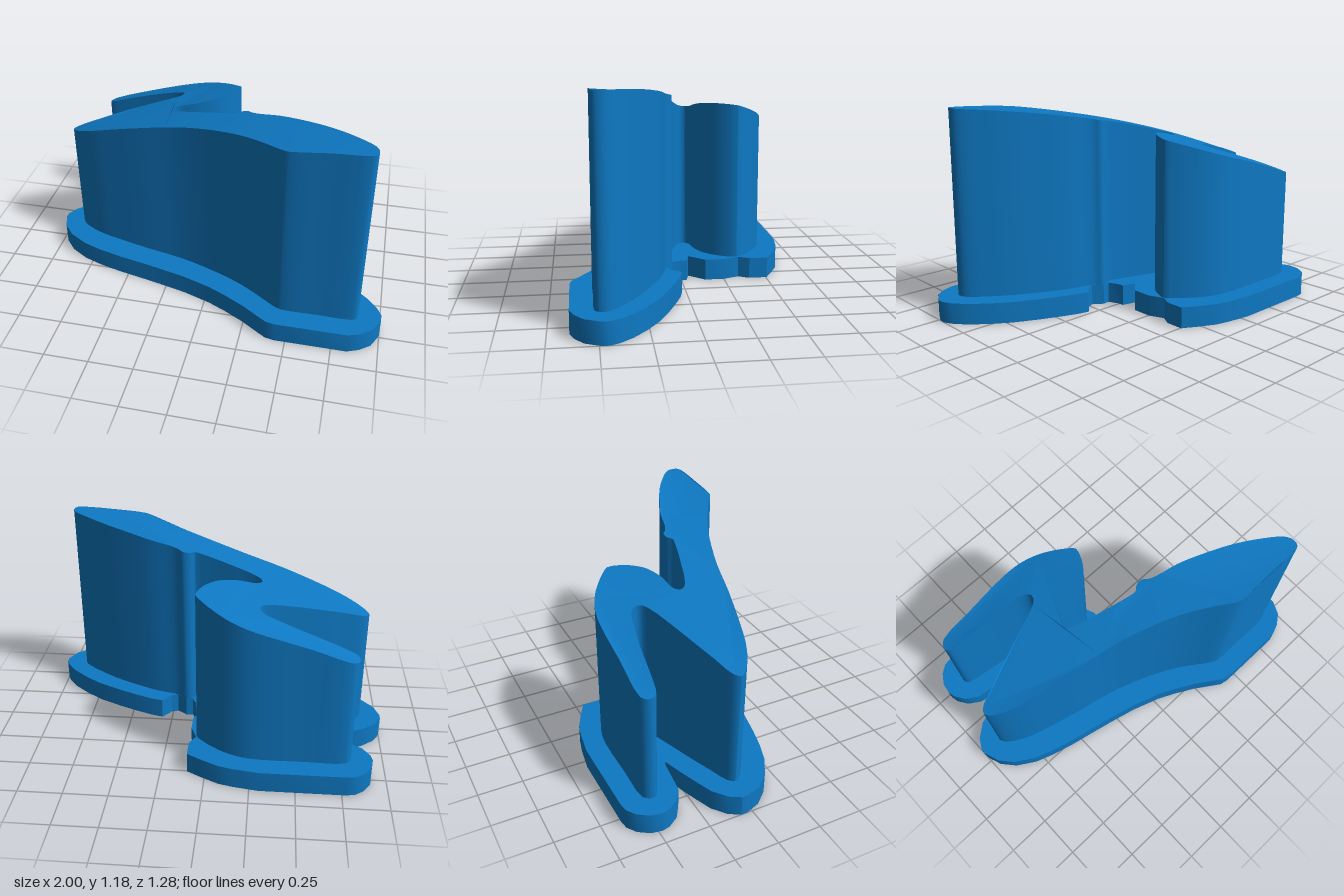
import * as THREE from 'three';
import { toCreasedNormals } from 'three/addons/utils/BufferGeometryUtils.js';

const BASE_HEIGHT = 0.12;

// Outlines as x, z pairs seen from above
const baseOutline = [
  0.1, -0.505, 0.1, -0.4, 0.065, -0.34, 0.1, -0.25, 0.1, -0.14, 0.015, -0.05, 0.095, -0.03, 0.1, 0.01,
  0.125, 0.065, 0.165, 0.06, 0.19, 0.08, 0.22, 0.1, 0.26, 0.085, 0.31, 0.025, 0.375, 0.04, 0.47, 0.075,
  0.59, 0.125, 0.725, 0.19, 0.83, 0.26, 0.92, 0.335, 0.975, 0.4, 1, 0.45, 1, 0.49, 0.96, 0.57,
  0.9, 0.615, 0.835, 0.64, 0.44, 0.64, 0.39, 0.63, 0.335, 0.595, 0.245, 0.535, 0.135, 0.475, 0.03, 0.425,
  -0.13, 0.37, -0.29, 0.33, -0.4, 0.305, -0.56, 0.27, -0.69, 0.235, -0.8, 0.195, -0.905, 0.13, -0.97, 0.055,
  -1, -0.03, -1, -0.065, -0.965, -0.125, -0.89, -0.185, -0.8, -0.22, -0.69, -0.26, -0.58, -0.295,
  -0.59, -0.305, -0.72, -0.32, -0.8, -0.33, -0.87, -0.375, -0.91, -0.435, -0.92, -0.48, -0.91, -0.54,
  -0.87, -0.6, -0.82, -0.635, -0.77, -0.643, -0.3, -0.643, -0.16, -0.62, -0.08, -0.6, 0.02, -0.55,
];
const bodyOutline = [
  -0.795, -0.495, -0.765, -0.522, -0.55, -0.525, -0.31, -0.525, -0.2, -0.51, -0.1, -0.47, -0.02, -0.415,
  0.03, -0.37, 0.062, -0.33, 0.04, -0.26, 0, -0.2, -0.06, -0.145, -0.16, -0.105, -0.25, -0.09,
  -0.28, -0.06, -0.27, -0.03, -0.2, 0.005, -0.12, 0.03, -0.04, 0.055, 0.05, 0.08, 0.105, 0.09,
  0.13, 0.07, 0.17, 0.065, 0.2, 0.09, 0.24, 0.108, 0.36, 0.14, 0.49, 0.195, 0.64, 0.27, 0.77, 0.355,
  0.855, 0.425, 0.875, 0.465, 0.868, 0.505, 0.84, 0.519, 0.65, 0.52, 0.455, 0.519, 0.42, 0.505,
  0.38, 0.48, 0.3, 0.425, 0.19, 0.358, 0.03, 0.285, -0.185, 0.212, -0.4, 0.165, -0.56, 0.125,
  -0.72, 0.08, -0.815, 0.035, -0.865, -0.005, -0.88, -0.035, -0.85, -0.07, -0.745, -0.11, -0.61, -0.16,
  -0.45, -0.215, -0.33, -0.26, -0.285, -0.29, -0.28, -0.325, -0.31, -0.355, -0.4, -0.38, -0.53, -0.405,
  -0.72, -0.43, -0.785, -0.445, -0.8, -0.467,
];

// Height of the domed top surface
const domeHeight = (x, z) => 1.178 - 0.101 * ((x - 1) ** 2 + (z - 0.55) ** 2);

function toPoints(pairs) {
  const points = [];
  for (let i = 0; i < pairs.length; i += 2) points.push(new THREE.Vector2(pairs[i], -pairs[i + 1]));
  return points;
}

// Rounds an outline with a closed curve
function smooth(points) {
  const curve = new THREE.CatmullRomCurve3(points.map((p) => new THREE.Vector3(p.x, p.y, 0)), true);
  return curve.getPoints(points.length * 3).slice(0, -1).map((p) => new THREE.Vector2(p.x, p.y));
}

// Upright extrusion from y = 0
function extrudeUp(points, height) {
  return new THREE.ExtrudeGeometry(new THREE.Shape(points), { depth: height, bevelEnabled: false })
    .rotateX(-Math.PI / 2);
}

export function createModel() {
  const group = new THREE.Group();
  const blue = new THREE.MeshStandardMaterial({ name: 'blue', color: 0x0e78c2 });

  const add = (geometry, name) => {
    const mesh = new THREE.Mesh(toCreasedNormals(geometry, 0.5), blue);
    mesh.name = name;
    group.add(mesh);
  };

  // Flat foot plate
  add(extrudeUp(toPoints(baseOutline), BASE_HEIGHT), 'base');

  // Winding wall whose top follows a shallow dome
  const body = extrudeUp(smooth(toPoints(bodyOutline)), 1);
  const position = body.attributes.position;
  for (let i = 0; i < position.count; i++) {
    const isTop = position.getY(i) > 0.5;
    position.setY(i, isTop ? domeHeight(position.getX(i), position.getZ(i)) : BASE_HEIGHT);
  }
  add(body, 'windingBody');

  return group;
}
